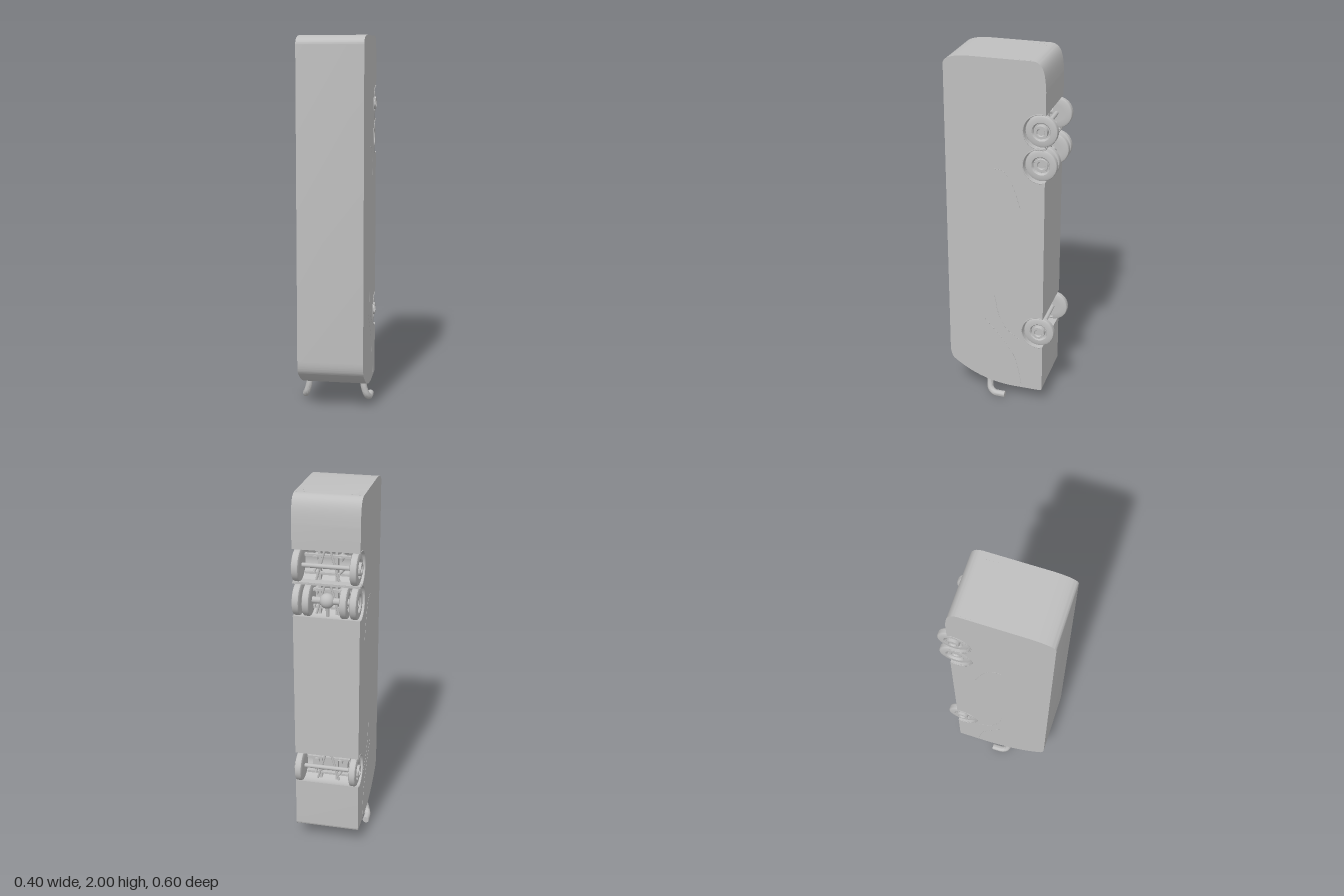
import * as THREE from 'three';
import { toCreasedNormals } from 'three/addons/utils/BufferGeometryUtils.js';

const WHEEL_Z = -0.215, FLOOR = -0.24, HALF = 0.177;
const AXLES = [0.46, 1.45, 1.635];

export function createModel() {
  const model = new THREE.Group();
  model.name = 'uprightCoach';
  const grey = new THREE.MeshStandardMaterial({ color: 0xbfbfbf });
  grey.name = 'plain grey';

  const add = (name, geometry, x = 0, y = 0, z = 0, parent = model) => {
    const mesh = new THREE.Mesh(geometry, grey);
    mesh.name = name;
    mesh.position.set(x, y, z);
    parent.add(mesh);
    return mesh;
  };
  const box = (name, w, h, d, x, y, z) => add(name, new THREE.BoxGeometry(w, h, d), x, y, z);
  const rod = (name, a, b, r) => add(name, new THREE.TubeGeometry(
    new THREE.LineCurve3(new THREE.Vector3(...a), new THREE.Vector3(...b)), 1, r, 10));

  // Body: side profile (z, y) with wheel arches, extruded across the width
  const archR = 0.092, dip = FLOOR - WHEEL_Z;
  const start = Math.atan2(-Math.sqrt(archR * archR - dip * dip), dip);
  const profile = new THREE.Shape();
  profile.moveTo(FLOOR, 0.1);
  for (const y of AXLES) profile.absarc(WHEEL_Z, y, archR, start, -start, false);
  profile.lineTo(FLOOR, 1.85);
  profile.bezierCurveTo(-0.235, 1.93, -0.23, 1.995, -0.17, 2);
  profile.lineTo(0.17, 2);
  profile.bezierCurveTo(0.24, 1.998, 0.3, 1.985, 0.3, 1.95);
  profile.lineTo(0.3, 0.28);
  profile.quadraticCurveTo(0.298, 0.23, 0.28, 0.21);
  profile.bezierCurveTo(0.18, 0.13, 0.06, 0.085, -0.08, 0.085);
  profile.lineTo(-0.225, 0.085);
  profile.quadraticCurveTo(FLOOR, 0.085, FLOOR, 0.1);
  const shell = new THREE.ExtrudeGeometry(profile, { depth: HALF * 2, bevelEnabled: false, curveSegments: 20 });
  add('body', toCreasedNormals(shell, 0.5), HALF).rotation.y = -Math.PI / 2;

  // Wheels: turned tyre, recessed rim and hub
  const wheelGeometry = (hub) => {
    const pts = [[0, -0.02], [0.045, -0.02], [0.072, -0.02], [0.082, -0.016], [0.085, -0.01],
      [0.085, 0.01], [0.082, 0.016], [0.072, 0.02], [0.05, 0.02], [0.046, 0.016], [0.043, 0.003],
      [0.036, 0.003], [0.034, hub], [0.022, hub], [0.018, hub - 0.008], [0, hub - 0.008]];
    return toCreasedNormals(new THREE.LatheGeometry(pts.map(p => new THREE.Vector2(...p)), 36), 0.6);
  };
  const raised = wheelGeometry(0.03), sunken = wheelGeometry(0.012);
  const nut = new THREE.CylinderGeometry(0.003, 0.003, 0.008, 6);
  const wheel = (name, side, x, y, geometry) => {
    const group = new THREE.Group();
    group.name = name;
    group.position.set(side * x, y, WHEEL_Z);
    group.rotation.z = -side * Math.PI / 2;
    add('tyreAndRim', geometry, 0, 0, 0, group);
    for (let i = 0; i < 10; i++) {
      const a = i * Math.PI / 5;
      add('wheelNut', nut, 0.0395 * Math.cos(a), 0.005, 0.0395 * Math.sin(a), group);
    }
    model.add(group);
  };

  // Thin lips around the arches
  const lip = new THREE.TorusGeometry(archR + 0.002, 0.003, 6, 32, Math.PI * 1.08);

  AXLES.forEach((y, i) => {
    const drive = i === 1;
    for (const s of [-1, 1]) {
      wheel(s > 0 ? 'leftWheel' : 'rightWheel', s, 0.15, y, drive ? sunken : raised);
      if (drive) wheel('innerWheel', s, 0.097, y, sunken);
      const arch = add('archLip', lip, s * HALF, y, WHEEL_Z);
      arch.rotation.order = 'YXZ';
      arch.rotation.set(0, -Math.PI / 2, -Math.PI * 0.54);

      // Suspension: rails, trailing arms, air springs
      box('frameRail', 0.014, 0.17, 0.03, s * 0.045, y, -0.175);
      rod('trailingArm', [s * 0.06, y - 0.08, -0.2], [s * 0.015, y + 0.08, -0.2], 0.006);
      rod('airSpring', [s * 0.065, y + 0.035, -0.13], [s * 0.065, y + 0.035, -0.215], 0.016);
      rod('damper', [s * 0.075, y - 0.035, -0.14], [s * 0.065, y - 0.03, -0.235], 0.007);
    }
    rod('axleBeam', [-0.14, y, WHEEL_Z], [0.14, y, WHEEL_Z], drive ? 0.018 : 0.012);
    box('crossMember', 0.24, 0.012, 0.02, 0, y - 0.045, -0.19);
    box('crossMember', 0.24, 0.012, 0.02, 0, y + 0.05, -0.19);
    if (drive) {
      const casing = add('differential', new THREE.SphereGeometry(0.04, 20, 14), 0, y, WHEEL_Z);
      casing.scale.set(1, 1, 0.95);
      rod('driveShaft', [0, y - 0.09, -0.2], [0, y, WHEEL_Z], 0.01);
    }
  });
  // Solid centre over the steering axle, and the bar between the rear arches
  box('steeringHousing', 0.2, 0.165, 0.03, 0, AXLES[0], -0.142);
  box('archDivider', HALF * 2, 0.012, 0.07, 0, 1.5425, -0.2);

  // Mirrors: flattened arms bent backward at the nose
  for (const s of [-1, 1]) {
    const path = new THREE.CatmullRomCurve3([[0.148, 0.13, 0.07], [0.155, 0.08, 0.071], [0.168, 0.04, 0.064],
      [0.178, 0.021, 0.04], [0.18, 0.019, 0.01], [0.18, 0.019, -0.024]]
      .map(p => new THREE.Vector3(s * p[0], p[1], p[2])));
    const section = new THREE.Shape();
    section.absellipse(0, 0, 0.018, 0.018, 0, Math.PI * 2);
    const arm = new THREE.ExtrudeGeometry(section, { steps: 24, extrudePath: path, curveSegments: 8, bevelEnabled: false });
    add(s > 0 ? 'leftMirror' : 'rightMirror', toCreasedNormals(arm, 0.9));
  }

  // Lamp corners on the tail: thin L-shaped plates
  const corner = new THREE.Shape([[0.17, 0.165], [0.1, 0.165], [0.12, 0.15], [0.14, 0.14],
    [0.14, 0.08], [0.17, 0.08]].map(p => new THREE.Vector2(...p)));
  const lamp = new THREE.ExtrudeGeometry(corner, { depth: 0.002, bevelEnabled: false });
  const mirrored = new THREE.ExtrudeGeometry(
    new THREE.Shape(corner.getPoints().map(p => new THREE.Vector2(-p.x, p.y))), { depth: 0.002, bevelEnabled: false });
  for (const g of [lamp, mirrored]) add('tailLamp', g, 0, 1.9985, 0).rotation.x = -Math.PI / 2;

  // Fine swept mouldings on both flanks
  const sweeps = [[[0.03, 1.41], [-0.02, 1.4], [-0.07, 1.32], [-0.11, 1.2]],
    [[0.09, 0.5], [0.0, 0.4], [-0.08, 0.28], [-0.12, 0.11]],
    [[0.035, 0.66], [0.01, 0.54], [-0.04, 0.45], [-0.11, 0.4]]];
  for (const s of [-1, 1]) for (const sweep of sweeps) {
    const curve = new THREE.CatmullRomCurve3(sweep.map(([z, y]) => new THREE.Vector3(s * HALF, y, z)));
    add('sideMoulding', new THREE.TubeGeometry(curve, 24, 0.0012, 5));
  }
  return model;
}
